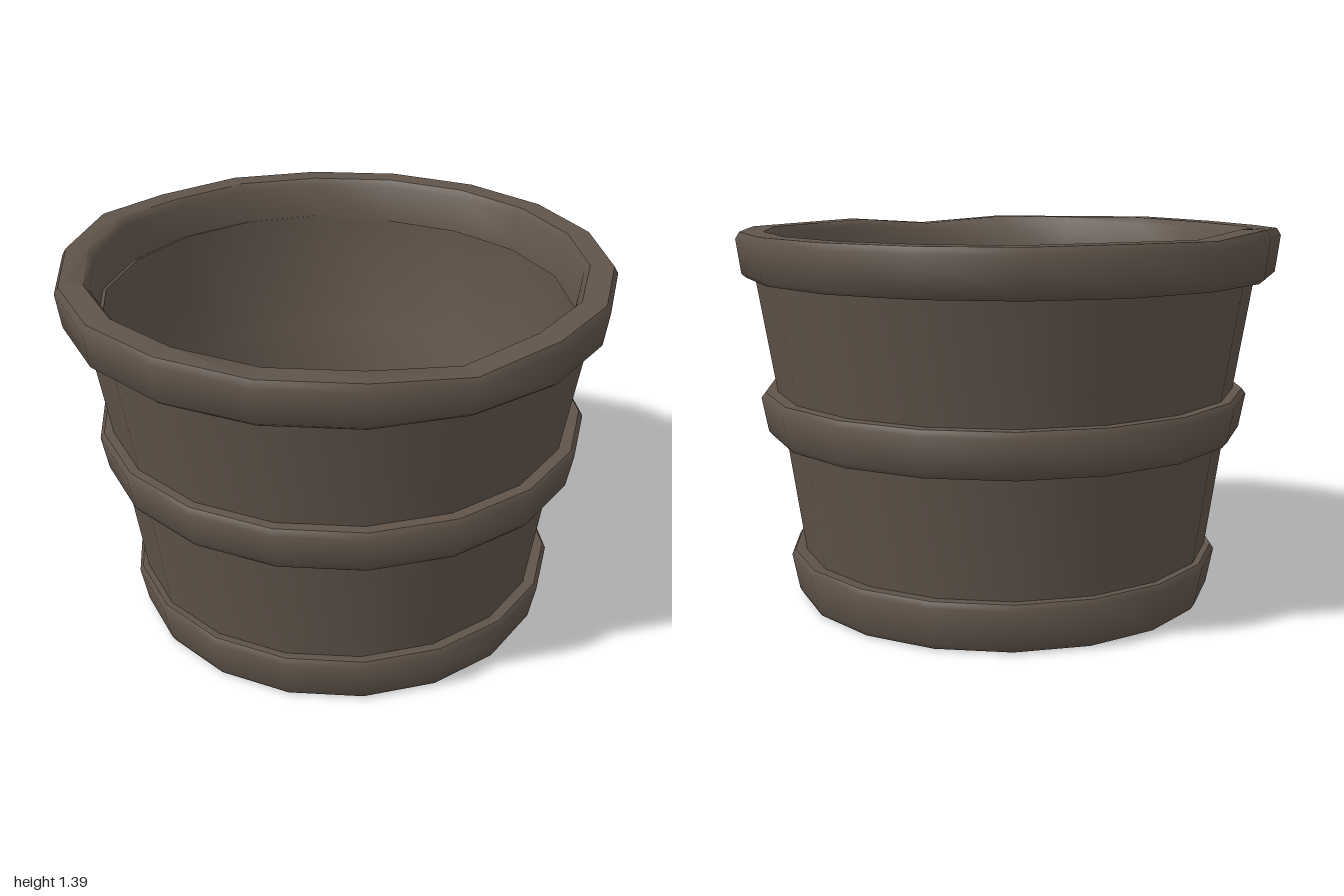
import * as THREE from 'three';
import { toCreasedNormals } from 'three/addons/utils/BufferGeometryUtils.js';

const SIDES = 18;

export function createModel() {
  const planter = new THREE.Group();
  planter.name = 'planter';
  const brown = new THREE.MeshStandardMaterial({ color: 0x60544a });
  brown.name = 'weathered brown';

  // Turns a profile of [radius, height] points; bevels stay soft, corners sharp
  function turned(name, profile, x, z, bend) {
    const points = profile.map(([r, y]) => new THREE.Vector2(r, y));
    let geometry = new THREE.LatheGeometry(points, SIDES);
    if (bend) bend(geometry.attributes.position);
    geometry = toCreasedNormals(geometry, 0.9);
    const mesh = new THREE.Mesh(geometry, brown);
    mesh.name = name;
    mesh.position.set(x, 0, z);
    planter.add(mesh);
  }

  // Tapered wall: outside going up, inside coming down with a small step
  turned('wall', [
    [0.765, 0.16], [0.83, 0.62], [0.855, 0.78], [0.925, 1.22],
    [0.862, 1.22], [0.845, 0.80], [0.82, 0.735], [0.75, 0.17],
  ], 0.01, 0.007);

  // Base hoop with the floor and the recessed underside
  turned('baseHoopAndFloor', [
    [0, 0.08], [0.70, 0.08], [0.745, 0.01], [0.755, 0], [0.775, 0.005], [0.787, 0.025],
    [0.813, 0.16], [0.80, 0.18], [0.72, 0.18], [0.705, 0.165], [0, 0.165],
  ], 0.018, 0.013);

  // Middle hoop
  turned('middleHoop', [
    [0.82, 0.62], [0.87, 0.62], [0.887, 0.64], [0.91, 0.765], [0.895, 0.785], [0.85, 0.785],
  ], 0.015, 0.01);

  // Worn rim: a few corners of the upper edge sit higher or lower
  const wear = { 1: -0.005, 8: 0.004, 10: 0.02, 11: 0.008, 14: 0.005, 17: -0.025 };
  turned('rim', [
    [0.86, 1.205], [0.965, 1.205], [0.983, 1.22], [1.0, 1.345], [0.985, 1.37],
    [0.90, 1.37], [0.88, 1.345], [0.86, 1.205],
  ], 0, 0, (position) => {
    for (let i = 0; i < position.count; i++) {
      const corner = Math.round(Math.atan2(position.getX(i), position.getZ(i)) / (Math.PI * 2) * SIDES);
      const offset = wear[(corner + SIDES) % SIDES] || 0;
      if (position.getY(i) > 1.3) position.setY(i, position.getY(i) + offset);
    }
  });

  return planter;
}
